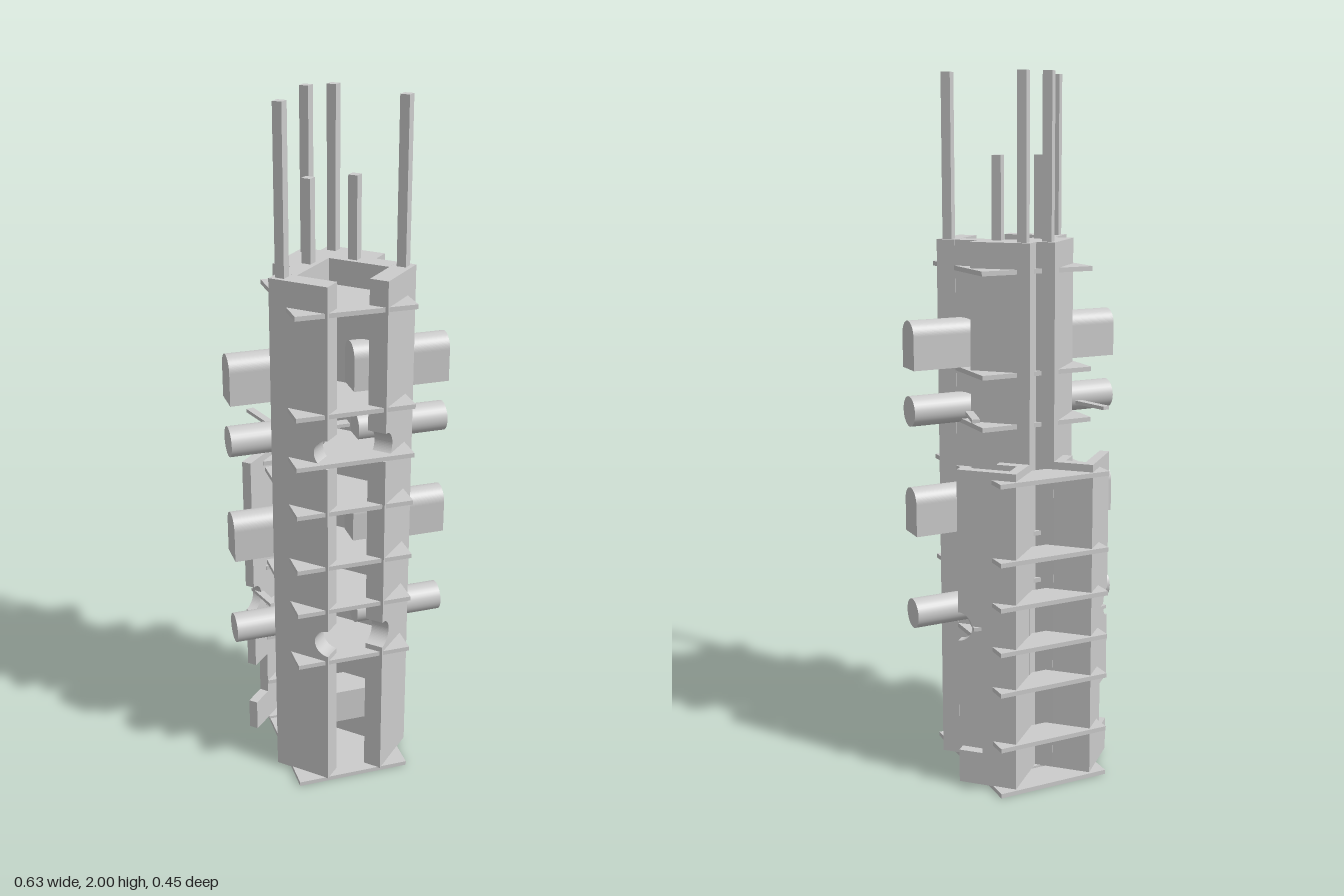
import * as THREE from 'three';

const mat = new THREE.MeshStandardMaterial({ color: 0xcccccc });
const BASE = 0.012;

function add(parent, name, geo, x = 0, y = 0, z = 0, ry = 0) {
  const m = new THREE.Mesh(geo, mat);
  m.name = name;
  m.position.set(x, y, z);
  m.rotation.y = ry;
  parent.add(m);
  return m;
}

const box = (w, h, d) => new THREE.BoxGeometry(w, h, d);

// Vertical prism from a plan outline of [x, z] points
function prism(points, y0, y1) {
  const shape = new THREE.Shape(points.map(([x, z]) => new THREE.Vector2(x, -z)));
  const geo = new THREE.ExtrudeGeometry(shape, { depth: y1 - y0, bevelEnabled: false });
  return geo.rotateX(-Math.PI / 2).translate(0, y0, 0);
}

// Wall panel whose free end has round notches and optionally a square one
function wall(length, height, thickness, rounds, square) {
  const s = new THREE.Shape();
  s.moveTo(0, BASE);
  s.lineTo(length, BASE);
  if (square) {
    const [y0, y1, w] = square;
    s.lineTo(length, y0);
    s.lineTo(length - w, y0);
    s.lineTo(length - w, y1);
    s.lineTo(length, y1);
  }
  for (const y of rounds) {
    s.lineTo(length, y - 0.042);
    s.absarc(length, y, 0.042, -Math.PI / 2, Math.PI / 2, true);
  }
  s.lineTo(length, height);
  s.lineTo(0, height);
  s.closePath();
  return new THREE.ExtrudeGeometry(s, { depth: thickness, bevelEnabled: false, curveSegments: 16 });
}

// Flat-bottomed duct with a rounded top, running along x
function archDuct(length) {
  const r = 0.041, s = new THREE.Shape();
  s.moveTo(-r, 0);
  s.lineTo(r, 0);
  s.lineTo(r, 0.094);
  s.absarc(0, 0.094, r, 0, Math.PI, false);
  s.closePath();
  return new THREE.ExtrudeGeometry(s, { depth: length, bevelEnabled: false, curveSegments: 20 })
    .rotateY(Math.PI / 2);
}

// Everything that repeats on the left and right
function createSide() {
  const side = new THREE.Group();

  // Diagonal front arm and the lower back channel
  add(side, 'frontArm', wall(0.173, 1.55, 0.054, [0.485, 1.08]), 0.205, 0, 0.103, -Math.PI * 0.75);
  add(side, 'backOuterWall', wall(0.172, 0.94, 0.028, [0.485], [0.11, 0.25, 0.07]),
    0.119, 0, -0.222, -Math.PI / 4);
  add(side, 'backInnerWall',
    prism([[0, -0.105], [0.04, -0.105], [0.118, -0.183], [0.119, -0.222]], BASE, 0.94));
  add(side, 'backChannelWall',
    prism([[0.0575, -0.1225], [0.1, -0.08], [0.12, -0.1], [0.0775, -0.1425]], BASE, 0.94));

  // Side ducts
  for (const y of [0.725, 1.2]) add(side, 'archedDuct', archDuct(0.28), 0.035, y, 0.054);
  const round = new THREE.CylinderGeometry(0.043, 0.043, 0.265, 32).rotateZ(Math.PI / 2);
  for (const y of [0.485, 1.08]) {
    add(side, 'roundDuct', round, 0.1825, y, 0.054);
    add(side, 'sideBracket', box(0.022, 0.01, 0.115), 0.187, y, -0.092, -0.26);
  }

  // Square roof poles set on the diagonal
  for (const [x, z, top] of [[0.168, 0.103, 2], [0.038, -0.103, 2], [0.065, 0, 1.78]]) {
    add(side, 'roofPole', box(0.027, top - 1.5, 0.027), x, (top + 1.5) / 2, z, Math.PI / 4);
  }
  return side;
}

export function createModel() {
  const model = new THREE.Group();
  model.name = 'tower';

  // Central core
  const half = [[0.128, 0.103], [0.1665, 0.0645], [0.121, 0.019], [0.16, -0.021], [0.038, -0.143]];
  const mirrored = half.map(([x, z]) => [-x, z]).reverse();
  add(model, 'core', prism([[0, -0.025], ...half, [0, -0.105], ...mirrored], BASE, 1.55));

  // Mirrored sides
  const left = createSide();
  left.name = 'leftSide';
  const right = createSide();
  right.name = 'rightSide';
  right.scale.x = -1;
  model.add(left, right);

  // Front floor slabs
  for (const y of [0.007, 0.42, 0.59, 0.73, 0.9, 1.045, 1.19, 1.472]) {
    add(model, 'frontSlab', box(0.337, 0.013, 0.337), 0, y, 0.0515);
  }
  // Back floor slabs
  for (const y of [0.007, 0.145, 0.31, 0.43, 0.56, 0.69, 0.912]) {
    add(model, 'backSlab', box(0.337, 0.013, 0.101), 0, y, -0.1785);
  }

  // Block and thin ties between the front arms
  add(model, 'entranceBlock', box(0.2, 0.105, 0.1), 0, 0.178, 0.06);
  for (const y of [0.485, 1.08]) add(model, 'innerTie', box(0.08, 0.01, 0.03), 0, y, 0.03);

  return model;
}
